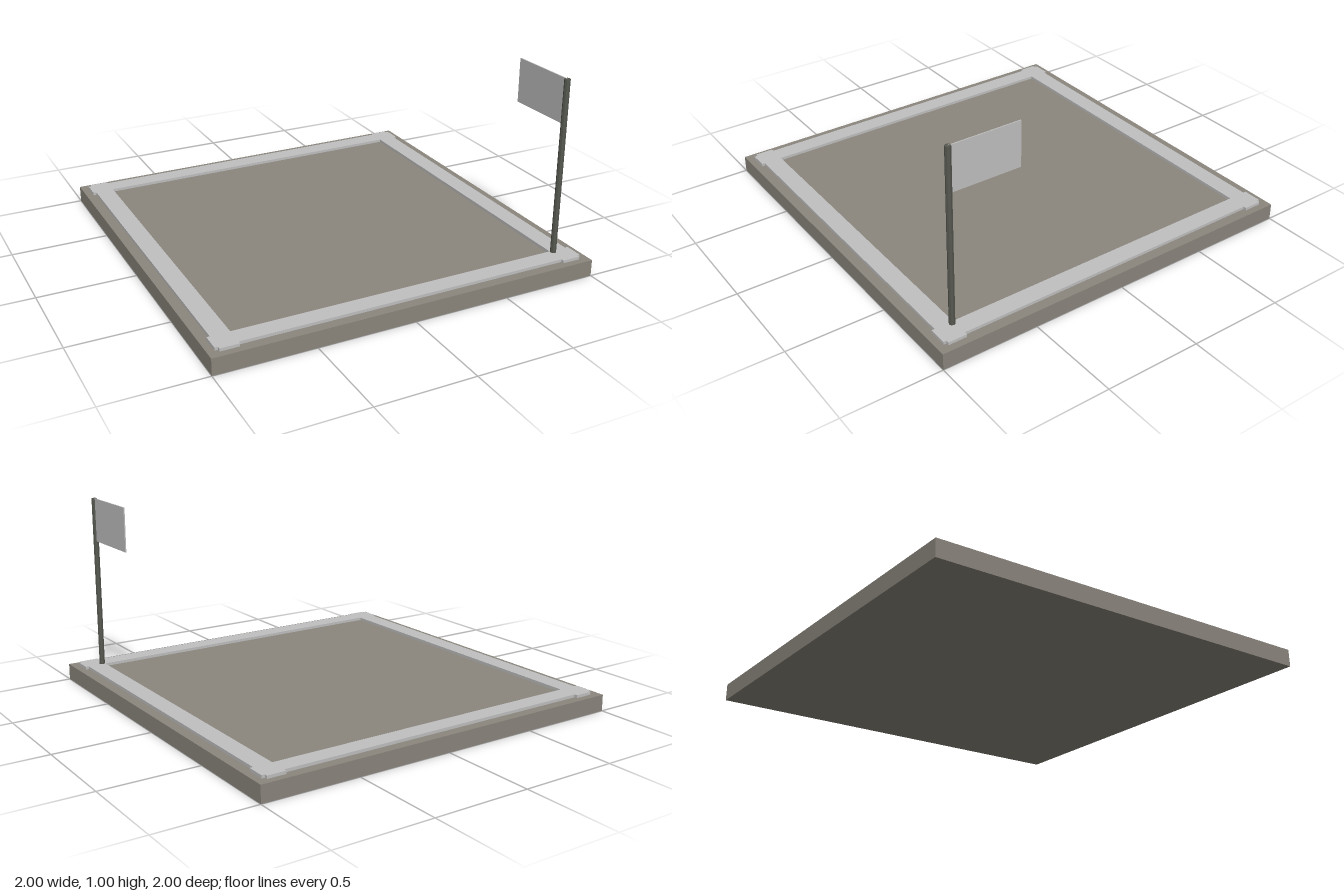
import * as THREE from 'three';

export function createModel() {
  const group = new THREE.Group();
  const stone = new THREE.MeshStandardMaterial({ name: 'stone', color: 0x8b867d });
  const paleGrey = new THREE.MeshStandardMaterial({ name: 'paleGrey', color: 0xc0c0c0 });
  const darkMetal = new THREE.MeshStandardMaterial({ name: 'darkMetal', color: 0x55584f, flatShading: true });

  const add = (name, geometry, material, x, y, z) => {
    const mesh = new THREE.Mesh(geometry, material);
    mesh.name = name;
    mesh.position.set(x, y, z);
    group.add(mesh);
    return mesh;
  };

  const baseTop = 0.085, rimTop = 0.1;
  const inner = 0.853, outer = 0.948, tab = 0.964;

  // square slab
  add('base', new THREE.BoxGeometry(2, baseTop, 2), stone, 0, baseTop / 2, 0);

  // raised border: one side's outline with a shallow tab near each end, turned four times
  const side = [[-outer, -outer], [-outer, -tab], [-inner, -tab], [-inner, -outer],
    [inner, -outer], [inner, -tab], [outer, -tab]];
  const outline = [];
  for (let i = 0; i < 4; i++) {
    const c = Math.round(Math.cos(i * Math.PI / 2)), s = Math.round(Math.sin(i * Math.PI / 2));
    for (const [x, y] of side) outline.push(new THREE.Vector2(x * c - y * s, x * s + y * c));
  }
  const shape = new THREE.Shape(outline);
  shape.holes.push(new THREE.Path([[-inner, -inner], [-inner, inner], [inner, inner], [inner, -inner]]
    .map(([x, y]) => new THREE.Vector2(x, y))));
  const rim = new THREE.ExtrudeGeometry(shape, { depth: rimTop - baseTop, bevelEnabled: false });
  rim.rotateX(-Math.PI / 2);
  add('border', rim, paleGrey, 0, baseTop, 0);

  // flagpole and flag at the front left corner
  const px = 0.865, poleBottom = baseTop, poleTop = 1;
  add('flagpole', new THREE.CylinderGeometry(0.015, 0.015, poleTop - poleBottom, 8), darkMetal,
    px, (poleTop + poleBottom) / 2, px);
  add('flag', new THREE.BoxGeometry(0.006, 0.227, px - 0.5), paleGrey, px, poleTop - 0.1135, (px + 0.5) / 2);

  return group;
}
